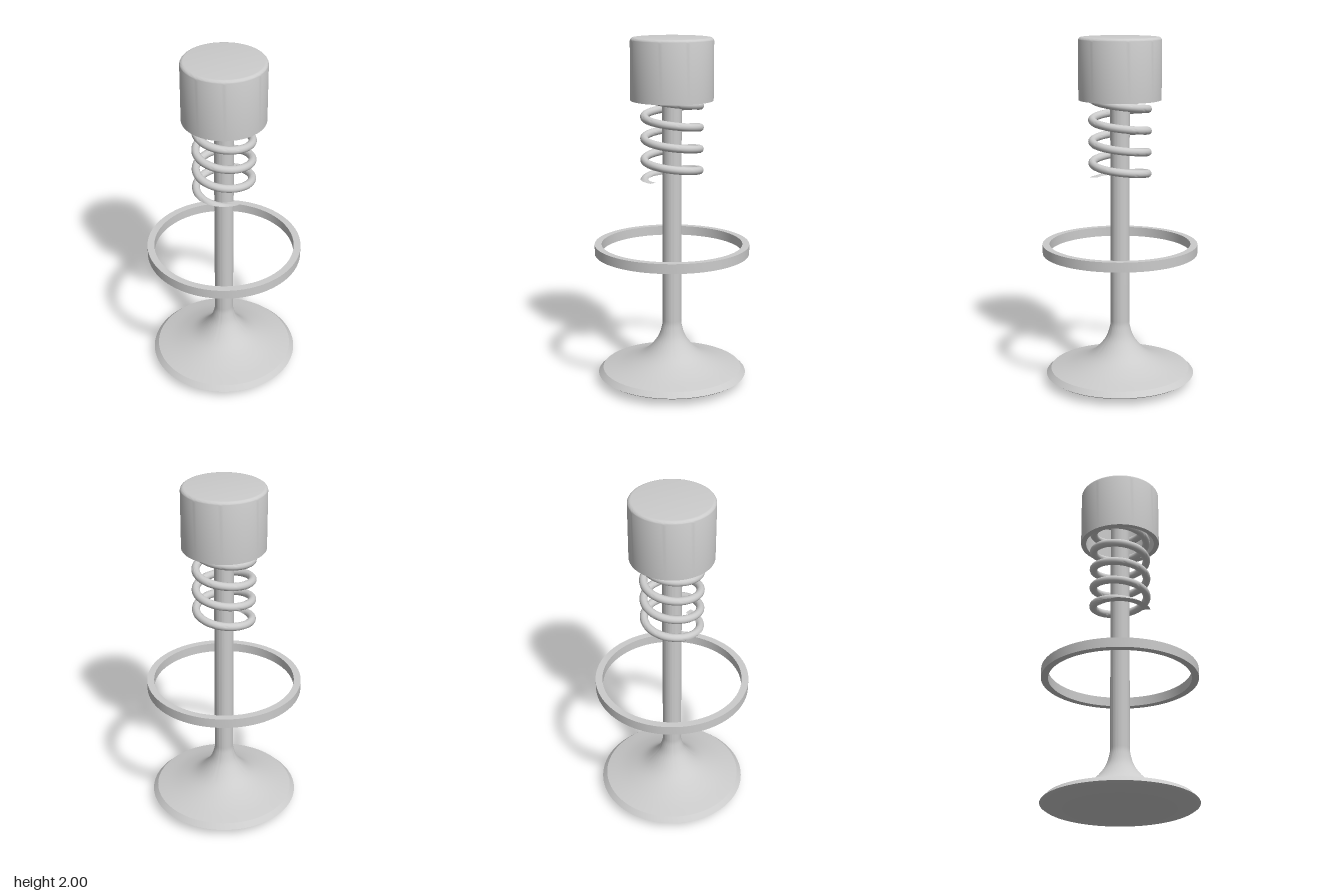
import * as THREE from 'three';
import { toCreasedNormals } from 'three/addons/utils/BufferGeometryUtils.js';

const material = new THREE.MeshStandardMaterial({ color: 0xcccccc });
const v2 = ([x, y]) => new THREE.Vector2(x, y);

// Turned part from a profile; corners sharper than 0.45 rad stay crisp
function turned(name, points) {
  const geometry = toCreasedNormals(new THREE.LatheGeometry(points, 96), 0.45);
  const mesh = new THREE.Mesh(geometry, material);
  mesh.name = name;
  return mesh;
}

// Coil dropping anticlockwise to its tail, with both ends ground flat
class Helix extends THREE.Curve {
  constructor(radius, pitch, turns, bottom, tailAngle) {
    super();
    Object.assign(this, { radius, pitch, turns, bottom, tailAngle });
  }
  getPoint(t, target = new THREE.Vector3()) {
    const a = this.tailAngle + t * this.turns * Math.PI * 2;
    return target.set(
      this.radius * Math.cos(a),
      this.bottom + t * this.turns * this.pitch,
      this.radius * Math.sin(a));
  }
}

export function createModel() {
  const model = new THREE.Group();
  const ceiling = 1.89;

  // Valve: domed face, bevelled rim, flared neck and long stem
  const dome = [[0, 0], [0.15, 0.005], [0.29, 0.02], [0.42, 0.042], [0.432, 0.05]].map(v2);
  const flare = new THREE.SplineCurve([
    [0.405, 0.078], [0.28, 0.112], [0.165, 0.165], [0.087, 0.25], [0.058, 0.33], [0.055, 0.38],
  ].map(v2)).getPoints(24);
  model.add(turned('valve', [...dome, ...flare, ...[[0.055, ceiling], [0, ceiling]].map(v2)]));

  // Valve seat ring
  model.add(turned('seatRing', [
    [0.445, 0.773], [0.445, 0.828], [0.405, 0.828], [0.405, 0.773], [0.445, 0.773],
  ].map(v2)));

  // Cup-shaped tappet, open below, with a rounded top edge
  const edge = [];
  for (let i = 0; i <= 6; i++) {
    const a = (i / 6) * Math.PI / 2;
    edge.push(new THREE.Vector2(0.213 + 0.02 * Math.cos(a), 1.98 + 0.02 * Math.sin(a)));
  }
  model.add(turned('tappet', [
    ...[[0, ceiling], [0.203, ceiling], [0.203, 1.653], [0.233, 1.653]].map(v2),
    ...edge, new THREE.Vector2(0, 2),
  ]));

  // Spring, cut flat at both ends
  const helix = new Helix(0.157, 0.122, 6, 1.1785, Math.PI / 4);
  const coil = new THREE.TubeGeometry(helix, 360, 0.0225, 14);
  const position = coil.attributes.position;
  for (let i = 0; i < position.count; i++) {
    position.setY(i, THREE.MathUtils.clamp(position.getY(i), 1.203, ceiling));
  }
  const spring = new THREE.Mesh(toCreasedNormals(coil, 0.6), material);
  spring.name = 'spring';
  model.add(spring);

  return model;
}
